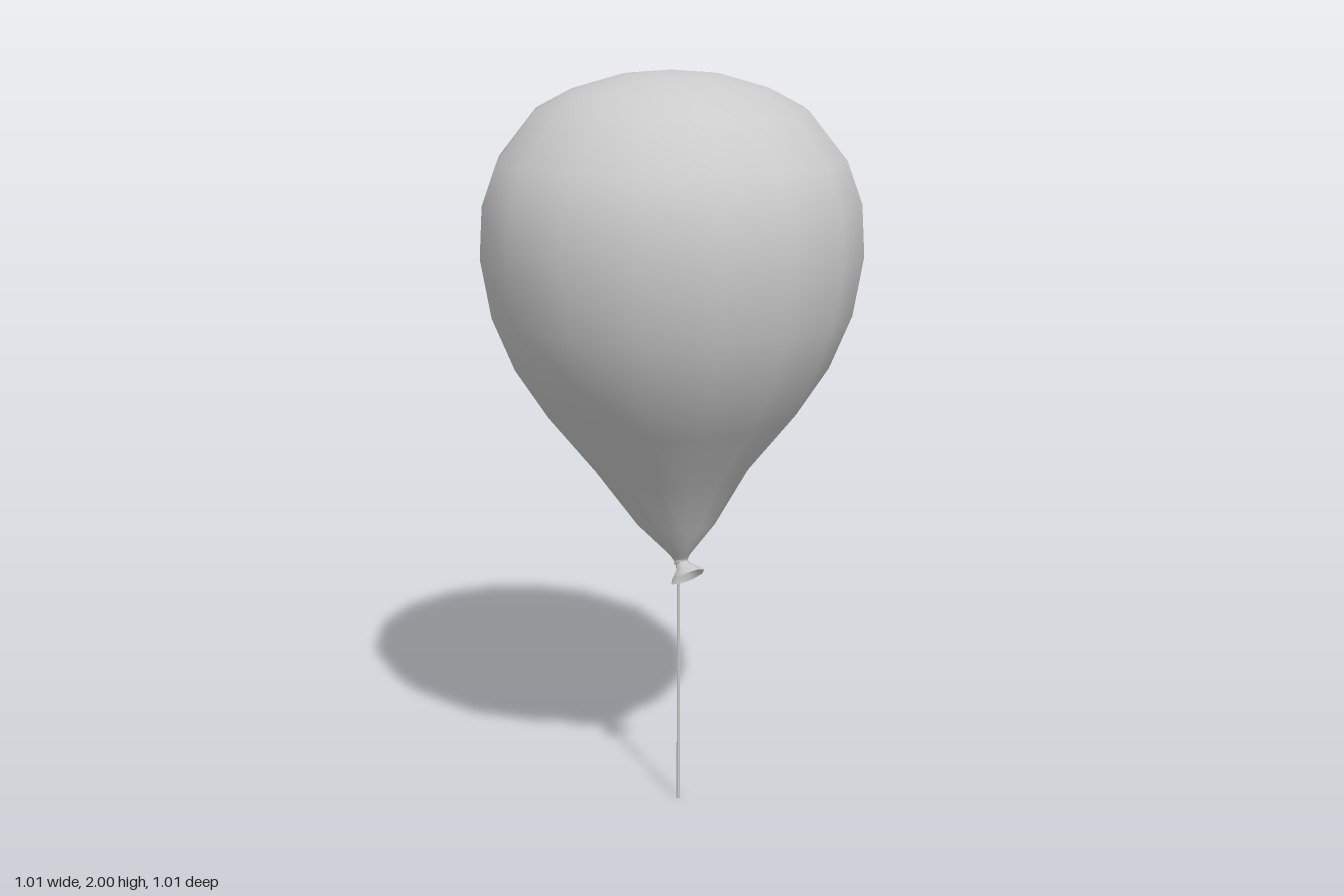
import * as THREE from 'three';
import { mergeVertices } from 'three/addons/utils/BufferGeometryUtils.js';

const SIDES = 16;
const material = new THREE.MeshStandardMaterial({ color: 0xcccccc });
const openMaterial = new THREE.MeshStandardMaterial({ color: 0xcccccc, side: THREE.DoubleSide });

// Smooth lathe from [radius, height] pairs, listed bottom to top.
function lathe(profile, sides) {
  const geometry = new THREE.LatheGeometry(profile.map(([r, y]) => new THREE.Vector2(r, y)), sides);
  geometry.deleteAttribute('normal');
  geometry.deleteAttribute('uv');
  return mergeVertices(geometry, 1e-5);
}

function addMesh(group, name, geometry, mat = material) {
  const mesh = new THREE.Mesh(geometry, mat);
  mesh.name = name;
  group.add(mesh);
  return mesh;
}

export function createModel() {
  const model = new THREE.Group();
  model.name = 'balloon';

  // Teardrop envelope whose tail leans towards +x
  const envelope = lathe([
    [0.016, 0.695], [0.028, 0.715], [0.106, 0.8], [0.207, 0.95], [0.333, 1.105],
    [0.418, 1.235], [0.476, 1.375], [0.503, 1.53], [0.495, 1.665], [0.455, 1.775],
    [0.355, 1.9], [0.26, 1.95], [0.13, 1.988], [0, 2],
  ], SIDES);
  const position = envelope.attributes.position;
  for (let i = 0; i < position.count; i++) {
    const lean = Math.max(0, 0.95 - position.getY(i)) / 0.25;
    position.setX(i, position.getX(i) + 0.042 * Math.pow(lean, 1.3));
  }
  envelope.computeVertexNormals();
  addMesh(model, 'envelope', envelope);

  // Tied neck and flared lip, tilted down and towards +x
  const knot = new THREE.Group();
  knot.name = 'knot';
  knot.position.set(0.046, 0.697, 0);
  knot.rotation.z = 0.67;
  model.add(knot);

  const tie = new THREE.TorusGeometry(0.013, 0.008, 6, 10);
  tie.rotateX(Math.PI / 2);
  addMesh(knot, 'tie', tie);

  const lip = lathe([[0.049, -0.048], [0.041, -0.036], [0.022, -0.018], [0.014, 0.004]], 8);
  lip.computeVertexNormals();
  addMesh(knot, 'lip', lip, openMaterial);

  // Straight hanging string
  const string = addMesh(model, 'string', new THREE.CylinderGeometry(0.005, 0.005, 0.685, 6));
  string.position.set(0.034, 0.3425, 0);

  return model;
}
